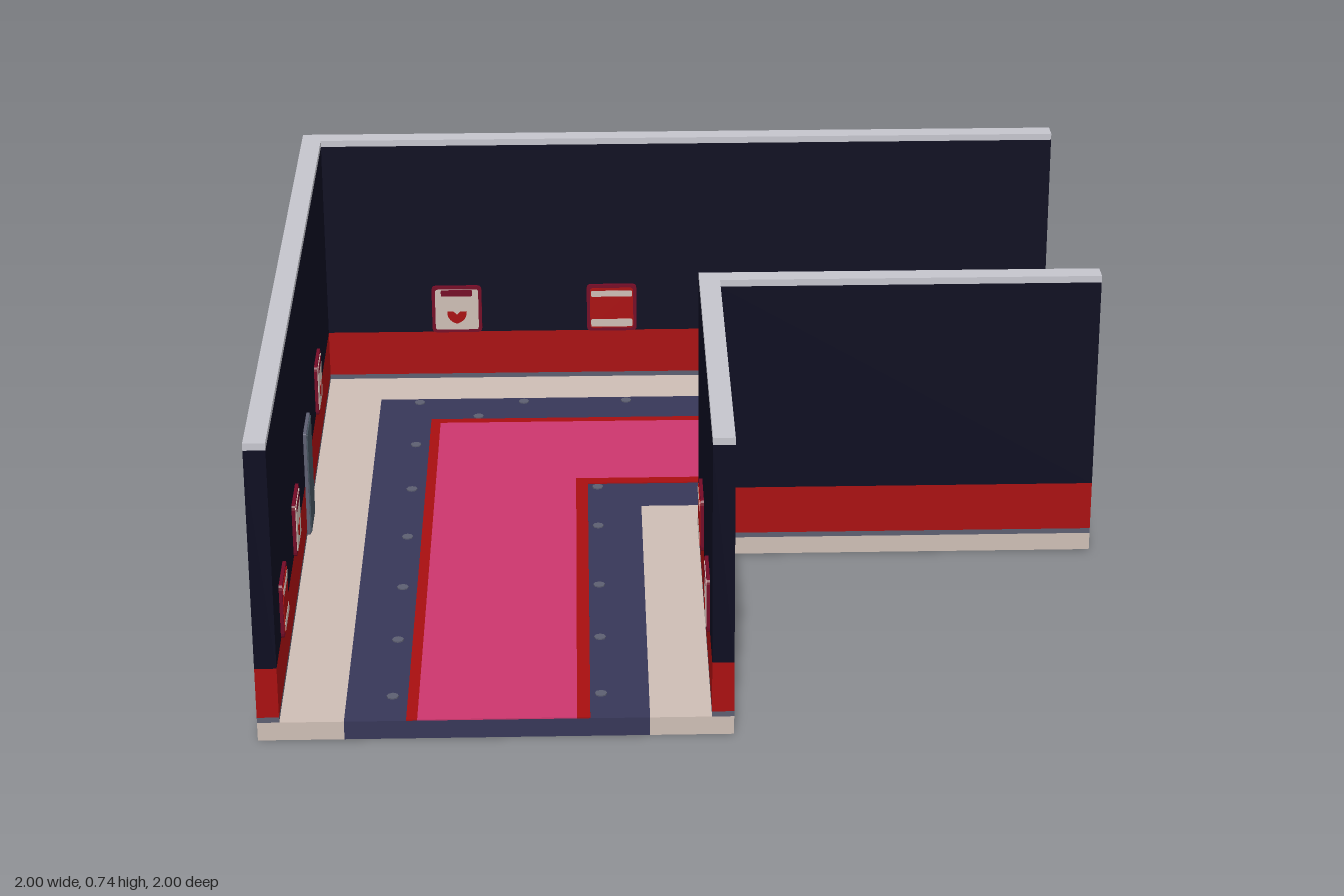
import * as THREE from 'three';

const mat = (name, color) => Object.assign(new THREE.MeshStandardMaterial({ color }), { name });

export function createModel() {
  const root = new THREE.Group();
  root.name = 'cornerCorridor';
  const beige = mat('beige floor', 0xcdbdb4);
  const navy = mat('blue carpet', 0x373758);
  const dark = mat('midnight wall', 0x0c0c20);
  const red = mat('red', 0xa80f10);
  const pink = mat('pink carpet', 0xcc366d);
  const crimson = mat('crimson frame', 0x740a26);
  const slate = mat('slate door', 0x44525d);
  const pale = mat('pale trim', 0xc4c4cc);
  const grey = mat('grey metal', 0x5c5e70);

  const add = (parent, name, geo, material, x = 0, y = 0, z = 0) => {
    const m = new THREE.Mesh(geo, material);
    m.name = name;
    m.position.set(x, y, z);
    parent.add(m);
    return m;
  };

  // L-shaped band between two offsets, running along both arms
  const band = (name, a, b, y0, y1, material) => {
    const pts = [[a, a], [1, a], [1, b], [b, b], [b, 1], [a, 1]];
    const shape = new THREE.Shape(pts.map(p => new THREE.Vector2(...p)));
    const geo = new THREE.ExtrudeGeometry(shape, { depth: y1 - y0, bevelEnabled: false });
    geo.rotateX(Math.PI / 2);
    add(root, name, geo, material, 0, y1, 0);
  };

  // Floor slab in strips, with the runner on top
  const top = 0.045;
  band('outerFloor', -1, -0.805, 0, top, beige);
  band('carpetFloor', -0.805, -0.115, 0, top, navy);
  band('innerFloor', -0.115, 0.075, 0, top, beige);
  band('outerRunnerEdge', -0.665, -0.64, top, 0.048, red);
  band('runner', -0.64, -0.28, top, 0.048, pink);
  band('innerRunnerEdge', -0.28, -0.25, top, 0.048, red);

  // Banded walls
  for (const [side, a, b] of [['outer', -1, -0.95], ['inner', 0.025, 0.075]]) {
    band(side + 'Skirting', a, b, top, 0.058, grey);
    band(side + 'WallLower', a, b, 0.058, 0.182, red);
    band(side + 'WallUpper', a, b, 0.182, 0.718, dark);
    band(side + 'WallCap', a, b, 0.718, 0.735, pale);
  }

  // Floor studs
  const studs = [[-0.54, -0.685], [0.57, -0.685], [-0.225, -0.23], [-0.225, 0.0]];
  for (const x of [-0.7, -0.42, -0.145, 0.13, 0.41, 0.69, 0.965]) studs.push([x, -0.78]);
  for (const x of [0.13, 0.41, 0.69, 0.965]) studs.push([x, -0.23]);
  for (const z of [-0.505, -0.23, 0.05, 0.33, 0.605, 0.885]) studs.push([-0.7, z]);
  for (const z of [0.33, 0.605, 0.885]) studs.push([-0.225, z]);
  const studGeo = new THREE.CylinderGeometry(0.014, 0.014, 0.003, 8);
  for (const [x, z] of studs) add(root, 'floorStud', studGeo, grey, x, top + 0.0015, z);

  // Rounded plate lying against a wall, facing local +z
  const plate = (w, h, r, d) => {
    const s = new THREE.Shape(), x = w / 2, y = h / 2;
    s.moveTo(-x + r, -y);
    s.lineTo(x - r, -y).quadraticCurveTo(x, -y, x, -y + r);
    s.lineTo(x, y - r).quadraticCurveTo(x, y, x - r, y);
    s.lineTo(-x + r, y).quadraticCurveTo(-x, y, -x, y - r);
    s.lineTo(-x, -y + r).quadraticCurveTo(-x, -y, -x + r, -y);
    return new THREE.ExtrudeGeometry(s, { depth: d, bevelEnabled: false, curveSegments: 3 });
  };
  const heart = new THREE.Shape();
  heart.moveTo(0, -0.022);
  heart.quadraticCurveTo(0.028, -0.012, 0.026, 0.014);
  heart.lineTo(0.01, 0.014).lineTo(0, 0.004).lineTo(-0.01, 0.014).lineTo(-0.026, 0.014);
  heart.quadraticCurveTo(-0.028, -0.012, 0, -0.022);
  const heartGeo = new THREE.ExtrudeGeometry(heart, { depth: 0.002, bevelEnabled: false });
  const frameGeo = plate(0.135, 0.134, 0.012, 0.008);
  const faceGeo = plate(0.117, 0.116, 0.008, 0.002);

  const fill = {
    heart(g) {
      add(g, 'posterFrame', frameGeo, crimson, 0, 0.25, 0);
      add(g, 'posterFace', faceGeo, beige, 0, 0.25, 0.008);
      add(g, 'posterHeader', plate(0.085, 0.018, 0.004, 0.002), crimson, 0, 0.298, 0.009);
      add(g, 'posterHeart', heartGeo, red, 0, 0.231, 0.009);
    },
    stripe(g) {
      add(g, 'posterFrame', frameGeo, crimson, 0, 0.25, 0);
      add(g, 'posterFace', faceGeo, red, 0, 0.25, 0.008);
      add(g, 'posterTopStripe', plate(0.112, 0.017, 0.004, 0.002), beige, 0, 0.292, 0.009);
      add(g, 'posterBottomStripe', plate(0.112, 0.022, 0.004, 0.002), beige, 0, 0.207, 0.009);
    },
    door(g) {
      add(g, 'doorFrame', plate(0.137, 0.274, 0.003, 0.008), grey, 0, 0.182, 0);
      add(g, 'doorPanel', plate(0.127, 0.266, 0.003, 0.003), slate, 0, 0.181, 0.008);
    },
  };
  const hang = (kind, x, z, turn) => {
    const g = new THREE.Group();
    g.name = kind === 'door' ? 'door' : kind + 'Poster';
    g.position.set(x, 0, z);
    g.rotation.y = turn;
    fill[kind](g);
    root.add(g);
  };

  // Back wall, left wall and inner wall fittings
  const q = Math.PI / 2;
  for (const [k, x] of [['heart', -0.6], ['stripe', -0.18], ['heart', 0.235], ['door', 0.65]]) hang(k, x, -0.95, 0);
  for (const [k, z] of [['heart', -0.46], ['door', -0.04], ['heart', 0.37], ['stripe', 0.79]]) hang(k, -0.95, z, q);
  for (const [k, z] of [['stripe', 0.37], ['heart', 0.79]]) hang(k, 0.025, z, -q);

  return root;
}
